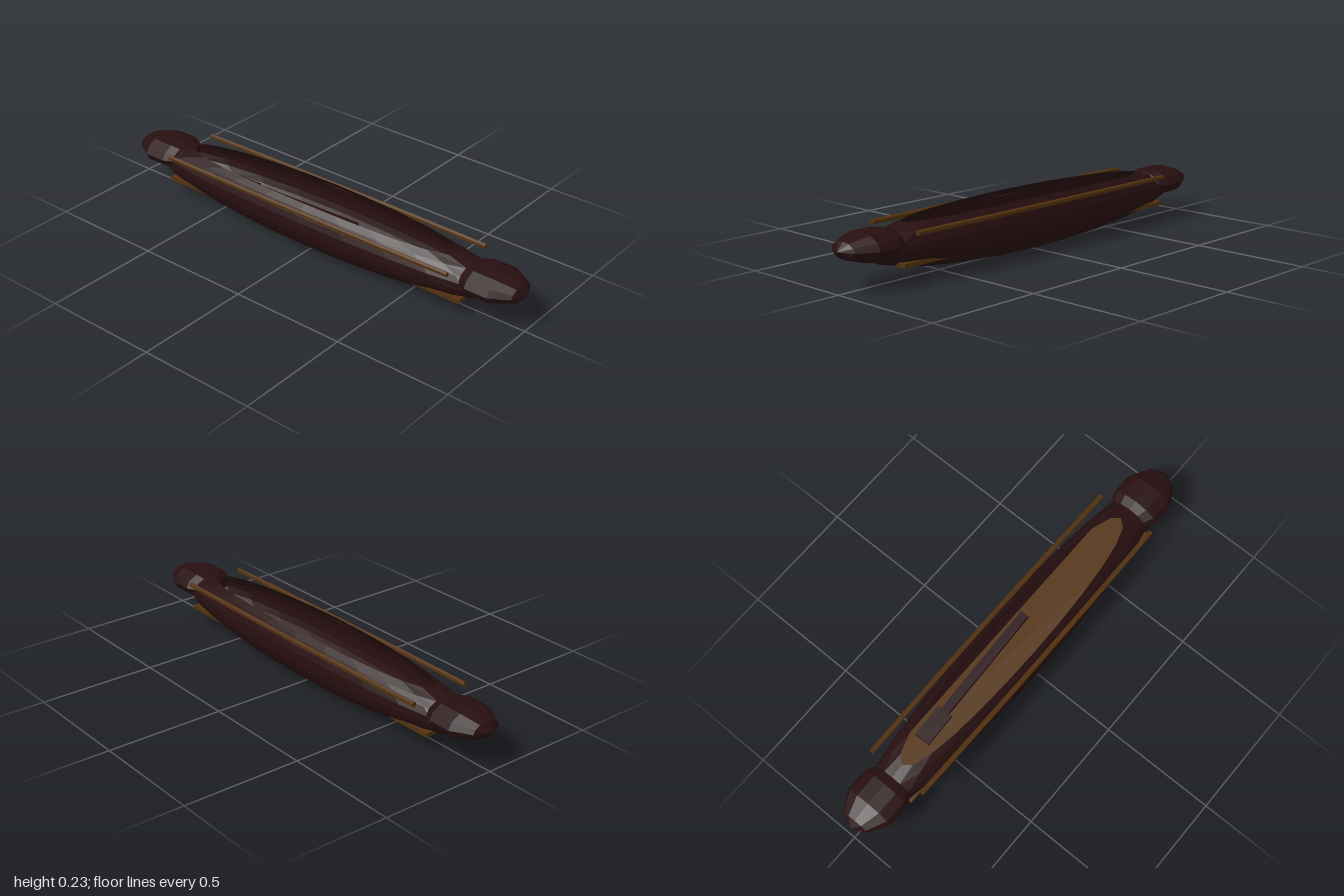
import * as THREE from 'three';

const darkWood = new THREE.MeshStandardMaterial({ color: 0x270f10, flatShading: true, side: THREE.DoubleSide });
darkWood.name = 'dark wood';
const brownWood = new THREE.MeshStandardMaterial({ color: 0x52310f, flatShading: true });
brownWood.name = 'brown wood';

function part(name, geometry, material) {
  const mesh = new THREE.Mesh(geometry, material);
  mesh.name = name;
  return mesh;
}

// Long ellipsoid shell, open at the top along an oval rim
function hullGeometry() {
  const geo = new THREE.SphereGeometry(1, 24, 12, 0, Math.PI * 2, 0.8, Math.PI - 0.8);
  const pos = geo.attributes.position, uv = geo.attributes.uv;
  for (let i = 0; i < pos.count; i++) {
    const phi = uv.getX(i) * Math.PI * 2;
    const rim = THREE.MathUtils.lerp(0.767, 0.887, Math.sin(phi) ** 2);
    const theta = THREE.MathUtils.lerp(rim, Math.PI, 1 - uv.getY(i));
    const z = 0.89 * Math.sin(phi) * Math.sin(theta);
    const fuller = 1 + 0.2 * (z / 0.75) ** 4; // keeps the ends from thinning too fast
    pos.setXYZ(i,
      -0.147 * Math.cos(phi) * Math.sin(theta) * fuller,
      0.135 + 0.135 * Math.cos(theta), z);
  }
  geo.computeVertexNormals();
  return geo;
}

// Faceted, flattened knob for the bow and stern
function endCapGeometry() {
  const profile = [[0, 0.72], [0.09, 0.75], [0.112, 0.79], [0.112, 0.89], [0.065, 0.97], [0, 1]]
    .map(([r, h]) => new THREE.Vector2(r, h));
  const geo = new THREE.LatheGeometry(profile, 12);
  geo.rotateX(Math.PI / 2);
  geo.scale(1, 0.53, 1);
  return geo.translate(0, 0.16, 0);
}

// Side rail, bowed slightly outward, with closed ends
function rail(side) {
  const group = new THREE.Group();
  group.name = side > 0 ? 'leftRail' : 'rightRail';
  const geo = new THREE.CylinderGeometry(0.011, 0.011, 1.45, 6, 8);
  geo.rotateX(Math.PI / 2);
  const pos = geo.attributes.position;
  for (let i = 0; i < pos.count; i++) {
    const bow = 0.006 * (1 - (pos.getZ(i) / 0.725) ** 2);
    pos.setX(i, pos.getX(i) + side * (0.13 + bow));
  }
  geo.translate(0, 0.205, 0);
  geo.computeVertexNormals();
  group.add(part('rail', geo, brownWood));
  return group;
}

// Paddle lying on the floor
function paddle() {
  const group = new THREE.Group();
  group.name = 'paddle';
  const shaft = part('paddleShaft', new THREE.BoxGeometry(0.038, 0.02, 0.54), darkWood);
  shaft.position.z = 0.06;
  const blade = part('paddleBlade', new THREE.BoxGeometry(0.07, 0.015, 0.15), darkWood);
  blade.position.z = -0.275;
  group.add(shaft, blade);
  group.position.set(0.05, 0.1, -0.19);
  group.rotation.y = 0.04;
  return group;
}

export function createModel() {
  const canoe = new THREE.Group();
  canoe.name = 'canoe';
  canoe.add(part('hull', hullGeometry(), darkWood));

  const bow = part('bowCap', endCapGeometry(), darkWood);
  const stern = part('sternCap', endCapGeometry(), darkWood);
  stern.rotation.y = Math.PI;
  canoe.add(bow, stern);

  // Floor board, whose corners pass through the hull near both ends
  const floor = part('floorBoard', new THREE.BoxGeometry(0.194, 0.017, 1.52), brownWood);
  floor.position.y = 0.0785;
  canoe.add(floor, rail(1), rail(-1), paddle());
  return canoe;
}
